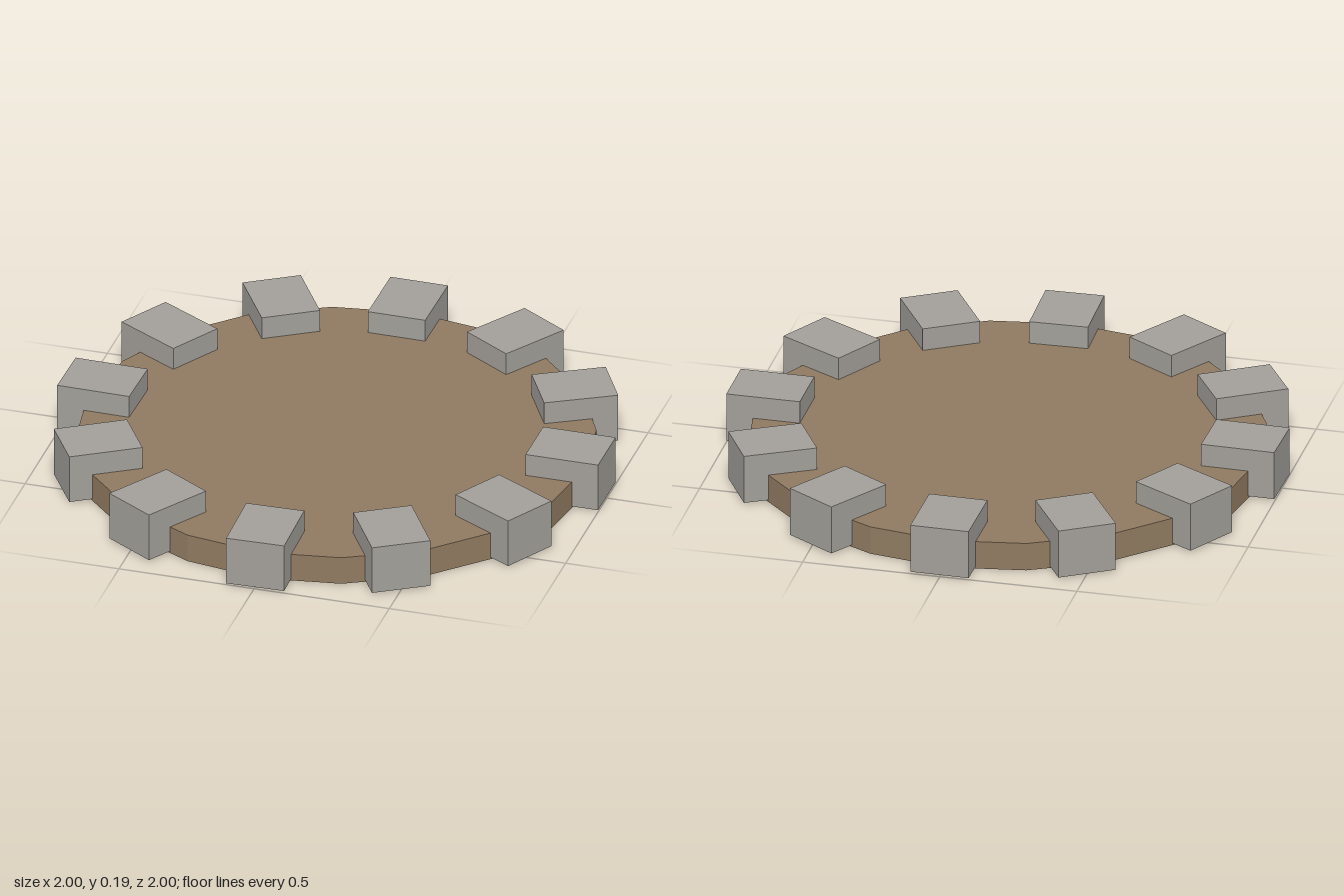
import * as THREE from 'three';

export function createModel() {
  const group = new THREE.Group();
  const earth = new THREE.MeshStandardMaterial({ color: 0x8f7a60, flatShading: true });
  earth.name = 'earth brown';
  const stone = new THREE.MeshStandardMaterial({ color: 0xa29f99, flatShading: true });
  stone.name = 'stone grey';

  // Low twenty-sided base disc
  const base = new THREE.Mesh(new THREE.CylinderGeometry(0.92, 0.92, 0.105, 20), earth);
  base.name = 'base';
  base.position.y = 0.0525;
  group.add(base);

  // Ring of twelve stones, each turned slightly off the radial direction (degrees)
  const turns = [0, 0.7, 1.3, 1.5, -2, 1.9, -1, 0, 1.7, -0.5, -2.5, -1];
  const block = new THREE.BoxGeometry(0.268, 0.182, 0.213);
  turns.forEach((turn, i) => {
    const angle = (i / turns.length) * Math.PI * 2;
    const mesh = new THREE.Mesh(block, stone);
    mesh.name = `rimStone${i + 1}`;
    mesh.position.set(Math.cos(angle) * 0.866, 0.098, Math.sin(angle) * 0.866);
    mesh.rotation.y = -angle + THREE.MathUtils.degToRad(turn);
    group.add(mesh);
  });

  return group;
}
